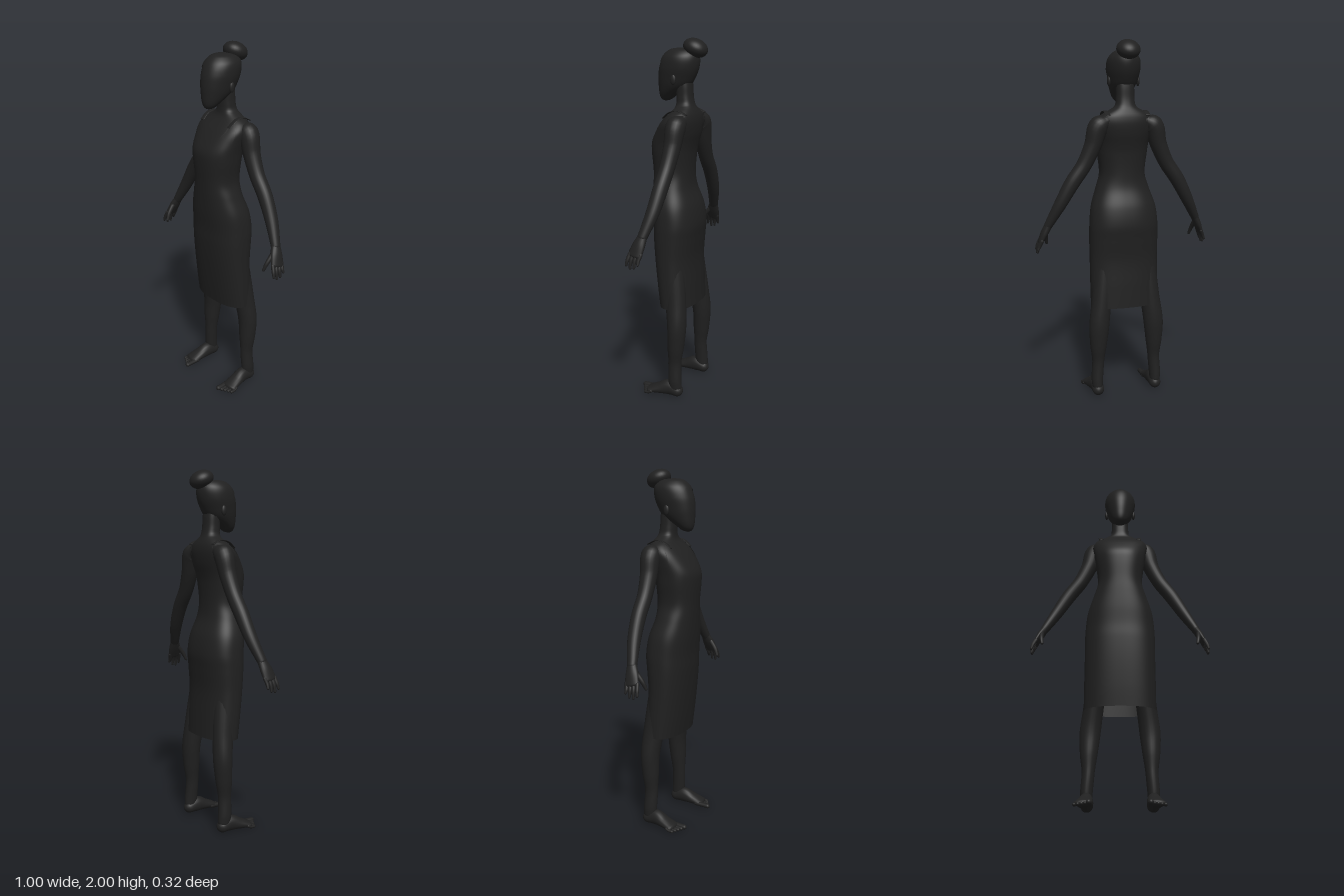
import * as THREE from 'three';

// Closed-around grid of points -> smooth geometry
function skin(rings) {
  const n = rings[0].length, pos = [], idx = [];
  rings.forEach(r => r.forEach(p => pos.push(p.x, p.y, p.z)));
  for (let i = 0; i < rings.length - 1; i++) for (let j = 0; j < n; j++) {
    const a = i * n + j, b = i * n + (j + 1) % n;
    idx.push(a, b, b + n, a, b + n, a + n);
  }
  const g = new THREE.BufferGeometry();
  g.setAttribute('position', new THREE.Float32BufferAttribute(pos, 3));
  g.setIndex(idx);
  g.computeVertexNormals();
  return g;
}

// Smooth interpolation of rows [y, halfWidth, zFront, zBack]
function sectionAt(rows, y) {
  let i = 0;
  while (i < rows.length - 2 && y > rows[i + 1][0]) i++;
  const a = rows[i], b = rows[i + 1], h = b[0] - a[0];
  const t = THREE.MathUtils.clamp((y - a[0]) / h, 0, 1);
  const slope = (k, c) => {
    const p = rows[Math.max(k - 1, 0)], q = rows[Math.min(k + 1, rows.length - 1)];
    return (q[c] - p[c]) / (q[0] - p[0]);
  };
  return [1, 2, 3].map(c =>
    a[c] * (1 + 2 * t) * (1 - t) ** 2 + b[c] * t * t * (3 - 2 * t) +
    h * (slope(i, c) * t * (1 - t) ** 2 - slope(i + 1, c) * t * t * (1 - t)));
}

// Rounded shell over the rows, between two heights that may vary with the angle
function shell(rows, low, high, { offset = 0, power = 1, count = 60, sides = 64 } = {}) {
  const rings = [];
  const bend = v => Math.sign(v) * Math.abs(v) ** power;
  for (let i = 0; i <= count; i++) {
    const ring = [];
    for (let j = 0; j < sides; j++) {
      const a = j / sides * Math.PI * 2;
      const y = THREE.MathUtils.lerp(low(a), high(a), i / count);
      const [w, f, b] = sectionAt(rows, y);
      ring.push(new THREE.Vector3((w + offset) * bend(Math.sin(a)), y,
        (f + b) / 2 + ((f - b) / 2 + offset) * bend(Math.cos(a))));
    }
    rings.push(ring);
  }
  return skin(rings);
}

// Limb through points [x, y, z, ru, rv] with rounded ends; rv lies along ref
function limb(points, side, ref, { count = 24, sides = 20 } = {}) {
  const curve = new THREE.CatmullRomCurve3(points.map(p => new THREE.Vector3(p[0] * side, p[1], p[2])));
  const radii = new THREE.CatmullRomCurve3(points.map(p => new THREE.Vector3(p[3], p[4], 0)));
  const rings = [];
  const add = (s, shift, scale) => {
    const t = curve.getTangent(s), r = radii.getPoint(s);
    const v = ref.clone().addScaledVector(t, -ref.dot(t)).normalize();
    const u = v.clone().cross(t);
    const c = curve.getPoint(s).addScaledVector(t, shift * Math.min(r.x, r.y));
    const ring = [];
    for (let j = 0; j < sides; j++) {
      const a = j / sides * Math.PI * 2;
      ring.push(c.clone().addScaledVector(u, Math.cos(a) * r.x * scale).addScaledVector(v, Math.sin(a) * r.y * scale));
    }
    rings.push(ring);
  };
  for (let k = 5; k > 0; k--) add(0, -Math.sin(k * Math.PI / 10), Math.cos(k * Math.PI / 10));
  for (let i = 0; i <= count; i++) add(i / count, 0, 1);
  for (let k = 1; k <= 5; k++) add(1, Math.sin(k * Math.PI / 10), Math.cos(k * Math.PI / 10));
  return skin(rings);
}

export function createModel() {
  const group = new THREE.Group();
  const charcoal = new THREE.MeshStandardMaterial({ color: 0x202020, side: THREE.DoubleSide });
  charcoal.name = 'charcoal';
  const add = (name, geometry, parent = group) => {
    const m = new THREE.Mesh(geometry, charcoal);
    m.name = name;
    parent.add(m);
    return m;
  };
  const X = new THREE.Vector3(1, 0, 0), Y = new THREE.Vector3(0, 1, 0), Z = new THREE.Vector3(0, 0, 1);

  // Torso with neck, and the dress that follows it
  const torso = [
    [0.53, 0.193, 0.067, -0.121], [0.65, 0.193, 0.083, -0.116], [0.8, 0.192, 0.1, -0.11],
    [0.92, 0.193, 0.11, -0.12], [1.0, 0.191, 0.113, -0.127], [1.1, 0.179, 0.122, -0.113],
    [1.2, 0.146, 0.128, -0.08], [1.28, 0.124, 0.132, -0.074], [1.4, 0.136, 0.14, -0.082],
    [1.45, 0.142, 0.137, -0.092], [1.5, 0.152, 0.113, -0.105], [1.56, 0.162, 0.072, -0.112],
    [1.6, 0.142, 0.036, -0.108], [1.625, 0.102, 0.016, -0.099], [1.65, 0.06, 0.01, -0.088],
    [1.69, 0.051, 0.01, -0.079], [1.75, 0.05, 0.012, -0.075], [1.79, 0.048, 0.012, -0.07]];
  add('torso', shell(torso, () => 1.2, () => 1.79, { power: 0.85 }));
  const neckline = a => {
    const s = Math.abs(Math.sin(a));
    const base = THREE.MathUtils.lerp(1.53, 1.47, THREE.MathUtils.smoothstep(s, 0.85, 1));
    return base + 0.085 * Math.exp(-(((s - 0.74) / 0.17) ** 2));
  };
  add('dress', shell(torso, () => 0.53, neckline, { offset: 0.004, power: 0.85, count: 70, sides: 96 }));

  // Head, hair cap with ragged hairline, bun
  const head = [
    [1.668, 0, 0.085, 0.085], [1.675, 0.022, 0.103, 0.055], [1.7, 0.045, 0.116, 0.02],
    [1.75, 0.069, 0.121, -0.055], [1.8, 0.081, 0.121, -0.088], [1.85, 0.088, 0.114, -0.107],
    [1.9, 0.083, 0.094, -0.11], [1.93, 0.062, 0.068, -0.094], [1.945, 0.037, 0.04, -0.062], [1.951, 0, 0, 0]];
  add('head', shell(head, () => 1.668, () => 1.951, { count: 48, sides: 48 }));
  add('hair', shell(head, a => 1.815 + 0.085 * Math.cos(a) + 0.006 * Math.cos(14 * a), () => 1.951,
    { offset: 0.004, count: 30, sides: 84 }));
  const bun = add('bun', new THREE.SphereGeometry(1, 32, 20));
  bun.scale.set(0.064, 0.048, 0.069);
  bun.rotation.x = -0.4;
  bun.position.set(0, 1.949, -0.095);

  for (const side of [1, -1]) {
    const tag = side > 0 ? 'left' : 'right';
    const part = (name, points, ref, options) => add(tag + name, limb(points, side, ref, options));

    // Ear and dress strap
    const ear = add(tag + 'Ear', new THREE.SphereGeometry(1, 16, 12));
    ear.scale.set(0.01, 0.028, 0.016);
    ear.position.set(side * 0.082, 1.785, -0.004);
    part('Strap', [[0.112, 1.585, 0.04, 0.003, 0.014], [0.115, 1.617, 0.0, 0.003, 0.014],
      [0.113, 1.625, -0.05, 0.003, 0.014], [0.112, 1.605, -0.098, 0.003, 0.014]], X);

    // Arm from shoulder to wrist
    part('Arm', [
      [0.115, 1.572, -0.055, 0.036, 0.045], [0.155, 1.545, -0.058, 0.056, 0.054],
      [0.187, 1.445, -0.054, 0.047, 0.047], [0.236, 1.34, -0.05, 0.042, 0.041],
      [0.302, 1.245, -0.048, 0.041, 0.04], [0.37, 1.125, -0.037, 0.034, 0.036],
      [0.432, 1.01, -0.012, 0.023, 0.027]], Z, { count: 36, sides: 24 });

    // Hand, fingers and thumb
    part('Palm', [[0.432, 1.01, -0.012, 0.021, 0.027], [0.453, 0.965, 0, 0.02, 0.037],
      [0.473, 0.92, 0.01, 0.014, 0.04]], Z);
    for (let i = 0; i < 4; i++) {
      const z = 0.041 - i * 0.021, tip = 0.862 + [0.006, -0.008, -0.004, 0.014][i];
      part('Finger' + (i + 1), [[0.47, 0.925, z, 0.011, 0.011], [0.484, 0.893, z + 0.007, 0.01, 0.01],
        [0.491, tip, z + 0.011 - i * 0.002, 0.007, 0.007]], Z, { count: 8, sides: 10 });
    }
    part('Thumb', [[0.443, 0.975, 0.018, 0.014, 0.014], [0.437, 0.93, 0.052, 0.012, 0.012],
      [0.43, 0.893, 0.069, 0.008, 0.008]], X, { count: 8, sides: 10 });

    // Leg from thigh to ankle
    part('Leg', [
      [0.12, 0.78, -0.015, 0.062, 0.075], [0.145, 0.56, -0.052, 0.056, 0.06],
      [0.162, 0.42, -0.067, 0.057, 0.053], [0.167, 0.3, -0.063, 0.047, 0.047],
      [0.168, 0.2, -0.058, 0.034, 0.038], [0.175, 0.1, -0.062, 0.033, 0.039],
      [0.175, 0.06, -0.066, 0.03, 0.037]], Z, { count: 36, sides: 24 });

    // Foot and toes
    part('Foot', [[0.173, 0.036, -0.075, 0.034, 0.035], [0.173, 0.046, -0.025, 0.036, 0.045],
      [0.179, 0.032, 0.035, 0.042, 0.031], [0.185, 0.019, 0.09, 0.047, 0.018]], Y);
    for (let i = 0; i < 5; i++) {
      const r = i ? 0.011 - i * 0.0005 : 0.014, x = 0.15 + i * 0.0185;
      part('Toe' + (i + 1), [[x, 0.018, 0.07, r, r], [x + 0.002, r + 0.002, 0.11 - i * 0.006, r, r],
        [x + 0.002, r, 0.147 - i * 0.01, r, r]], Y, { count: 8, sides: 10 });
    }
  }
  return group;
}
